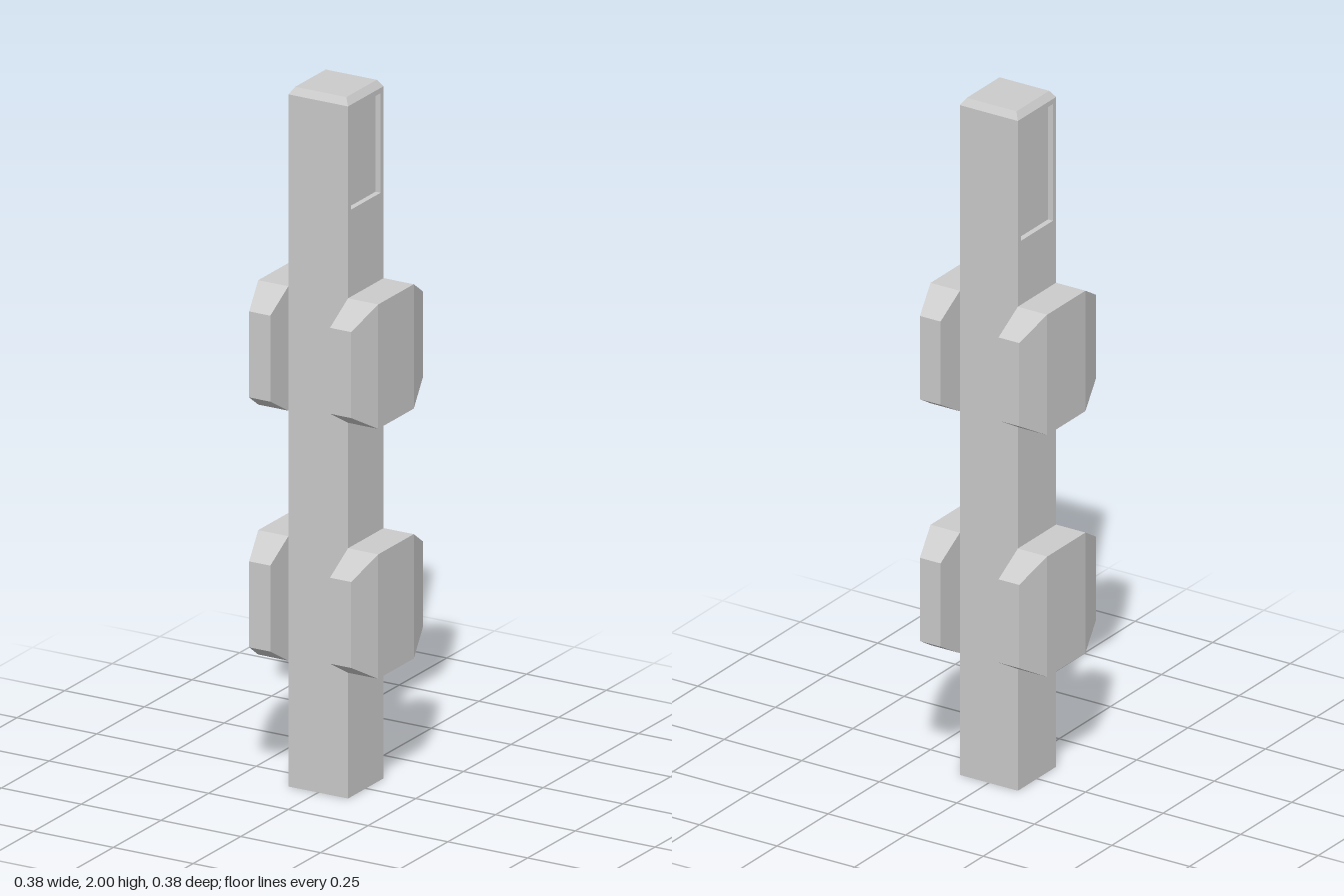
import * as THREE from 'three';

const HALF = 0.0935;   // half width of the post
const DEPTH = 0.016;   // depth of the side recesses
const SHOULDER = 1.98; // height where the top chamfer starts

const material = new THREE.MeshStandardMaterial({ color: 0xcccccc, flatShading: true });

function addMesh(parent, name, geometry, x = 0, y = 0, z = 0) {
  const mesh = new THREE.Mesh(geometry, material);
  mesh.name = name;
  mesh.position.set(x, y, z);
  parent.add(mesh);
  return mesh;
}

// Side wall of the post with a rectangular window, extruded outward
function sidePlate(windowBottom) {
  const shape = new THREE.Shape([
    new THREE.Vector2(-HALF, 0), new THREE.Vector2(HALF, 0),
    new THREE.Vector2(HALF, SHOULDER), new THREE.Vector2(-HALF, SHOULDER),
  ]);
  const w = 0.078, top = 1.965;
  shape.holes.push(new THREE.Path([
    new THREE.Vector2(-w, windowBottom), new THREE.Vector2(-w, top),
    new THREE.Vector2(w, top), new THREE.Vector2(w, windowBottom),
  ]));
  return new THREE.ExtrudeGeometry(shape, { depth: DEPTH, bevelEnabled: false });
}

// Block whose front and back thirds taper in height and on the outer side
function lugGeometry(side) {
  const geometry = new THREE.BoxGeometry(1, 1, 1, 1, 1, 3);
  const p = geometry.attributes.position;
  for (let i = 0; i < p.count; i++) {
    const end = Math.abs(p.getZ(i)) > 0.4;
    const outer = p.getX(i) * side > 0;
    const x = outer ? (end ? 0.16 : 0.188) : HALF;
    const y = Math.sign(p.getY(i)) * (end ? 0.123 : 0.178);
    const z = Math.sign(p.getZ(i)) * (end ? 0.188 : HALF);
    p.setXYZ(i, side * x, y, z);
  }
  geometry.computeVertexNormals();
  return geometry;
}

export function createModel() {
  const model = new THREE.Group();
  model.name = 'post';

  // Post core, with its side faces forming the floors of the recesses
  addMesh(model, 'postCore',
    new THREE.BoxGeometry(2 * (HALF - DEPTH), SHOULDER, 2 * HALF), 0, SHOULDER / 2, 0);

  // Chamfered top
  const cap = new THREE.CylinderGeometry(0.08 * Math.SQRT2, HALF * Math.SQRT2, 2 - SHOULDER, 4);
  cap.rotateY(Math.PI / 4);
  addMesh(model, 'chamferedTop', cap, 0, (2 + SHOULDER) / 2, 0);

  for (const side of [1, -1]) {
    const label = side > 0 ? 'left' : 'right';

    // The recess on the right is slightly taller
    const plate = addMesh(model, label + 'RecessedSide',
      sidePlate(side > 0 ? 1.68 : 1.62), side * (HALF - DEPTH), 0, 0);
    plate.rotation.y = side * Math.PI / 2;

    // Two side blocks, lower and upper
    [0.538, 1.253].forEach((y, i) =>
      addMesh(model, label + (i ? 'Upper' : 'Lower') + 'Block', lugGeometry(side), 0, y, 0));
  }
  return model;
}
